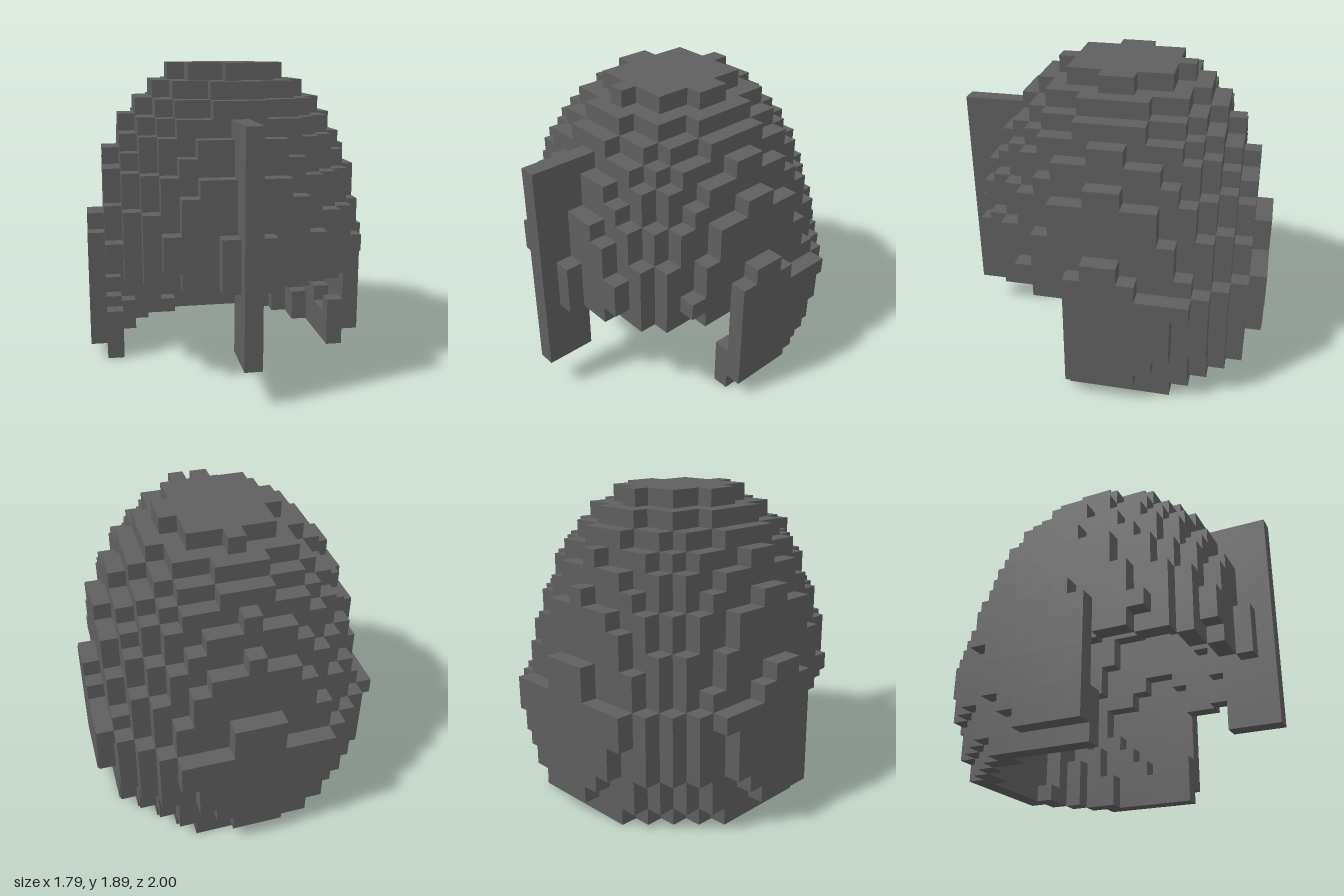
import * as THREE from 'three';

// Edge length of one cube; the model is 19 cubes deep
const U = 2 / 19;

// Squared radius of the helmet at each layer of cubes, bottom to top
const RADIUS2 = [60.5, 67, 71, 77, 77, 80.5, 83, 67.3, 65.8, 63, 59.2, 55, 50, 43.5, 37.6, 29, 20, 10.9];
const BROW = 6;        // layer where the face opening ends
const FACE = 2;        // first row of cubes that belongs to the face side

// Squared distance from the upright axis, slightly stretched front to back
const dist2 = (x, z) => x * x + ((z + 0.5) * 0.94) ** 2;

// Round body, a little slimmer at the front below the brow
function inBody(x, y, z) {
  if (y > 17 || Math.abs(x) > 8 || z < -9) return false;
  const layer = Math.max(y, 0);
  const r2 = layer <= BROW && z >= FACE ? 65 : RADIUS2[layer];
  return dist2(x, z) <= r2;
}

const SIDES = [[1, 0, 0], [-1, 0, 0], [0, 1, 0], [0, -1, 0], [0, 0, 1], [0, 0, -1]];

// Room for the head: one cube inside the body and narrowing towards the neck
const inHollow = (x, y, z) => dist2(x, z) <= 43 + 3.4 * y
  && SIDES.every(([a, b, c]) => inBody(x + a, y + b, z + c));

// Shell, open below and in front of the face
function inShell(x, y, z) {
  if (y < 0 || !inBody(x, y, z)) return false;
  if (y < BROW && z >= FACE) return false;
  return !inHollow(x, y, z);
}

const inNose = (x, y, z) => x === 0 && y >= 2 && y <= 14 && z >= 7 && z <= 9;

const filled = (x, y, z) => inNose(x, y, z) || inShell(x, y, z);

// Outer faces of all cubes accepted by the test
function cubes(test) {
  const pos = [], nor = [], idx = [];
  for (let y = 0; y < 18; y++)
    for (let x = -8; x <= 8; x++)
      for (let z = -9; z <= 9; z++) {
        if (!test(x, y, z)) continue;
        for (const n of SIDES) {
          if (filled(x + n[0], y + n[1], z + n[2])) continue;
          const N = new THREE.Vector3(...n);
          const A = new THREE.Vector3(n[1], n[2], n[0]);
          const B = N.clone().cross(A);
          const base = pos.length / 3;
          for (const [s, t] of [[-1, -1], [1, -1], [1, 1], [-1, 1]]) {
            const p = new THREE.Vector3(x, y + 0.5, z)
              .addScaledVector(N, 0.5)
              .addScaledVector(A, s / 2)
              .addScaledVector(B, t / 2)
              .multiplyScalar(U);
            pos.push(p.x, p.y, p.z);
            nor.push(...n);
          }
          idx.push(base, base + 1, base + 2, base, base + 2, base + 3);
        }
      }
  const g = new THREE.BufferGeometry();
  g.setAttribute('position', new THREE.Float32BufferAttribute(pos, 3));
  g.setAttribute('normal', new THREE.Float32BufferAttribute(nor, 3));
  g.setIndex(idx);
  return g;
}

export function createModel() {
  const group = new THREE.Group();
  group.name = 'helmet';

  const steel = new THREE.MeshStandardMaterial({ color: 0x5f5f5f });
  steel.name = 'dark steel';

  const add = (name, test) => {
    const mesh = new THREE.Mesh(cubes(test), steel);
    mesh.name = name;
    group.add(mesh);
  };

  // Upper bowl
  add('dome', (x, y, z) => y >= BROW && inShell(x, y, z) && !inNose(x, y, z));
  // Cheeks and back of the neck
  add('cheekAndNeckGuard', (x, y, z) => y < BROW && inShell(x, y, z));
  // Narrow bar in front of the face
  add('noseGuard', inNose);

  return group;
}
